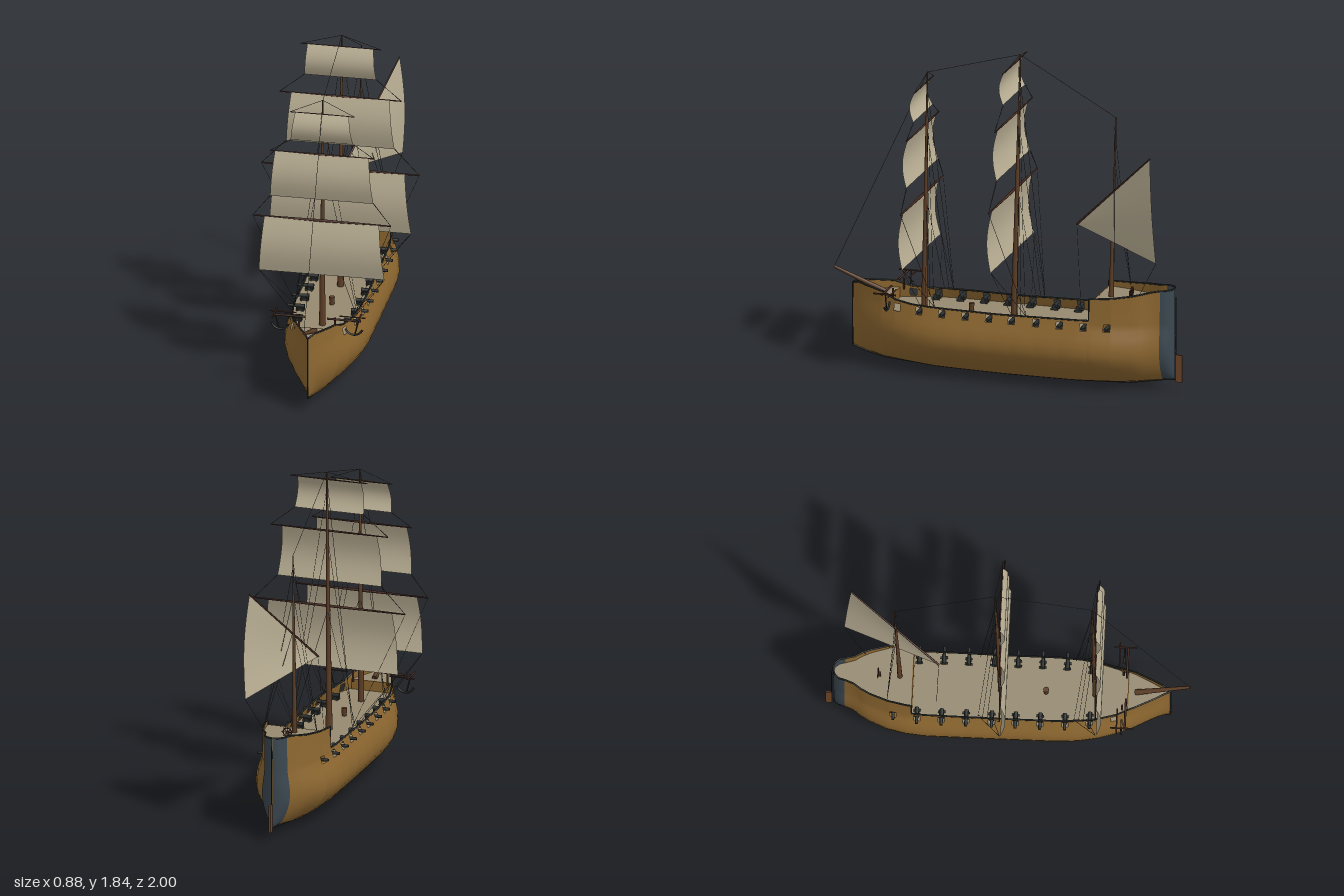
import * as THREE from 'three';
import { mergeGeometries } from 'three/addons/utils/BufferGeometryUtils.js';

const mat = (name, color, side = THREE.FrontSide) => {
  const m = new THREE.MeshStandardMaterial({ color, side });
  m.name = name;
  return m;
};
const V = (x, y, z) => new THREE.Vector3(x, y, z);

// Linear interpolation through [position, value] pairs
function interp(table, p) {
  for (let i = 1; i < table.length; i++) {
    const [a, va] = table[i - 1], [b, vb] = table[i];
    if (p >= Math.min(a, b) && p <= Math.max(a, b)) return va + (vb - va) * (p - a) / (b - a || 1);
  }
  return p > table[0][0] ? table[0][1] : table[table.length - 1][1];
}

const STEP = -0.52, STERN = -0.89;
const beamTable = [[0.89, 0.003], [0.85, 0.034], [0.8, 0.068], [0.7, 0.128], [0.6, 0.174], [0.5, 0.206], [0.4, 0.225],
  [0.28, 0.234], [-0.45, 0.235], [-0.55, 0.226], [-0.65, 0.204], [-0.75, 0.163], [-0.8, 0.133], [-0.84, 0.1],
  [STERN, 0.08], [-0.92, 0.071], [-0.945, 0.045], [-0.957, 0.002]];
const keelTable = [[0.89, 0.09], [0.8, 0.06], [0.7, 0.038], [0.4, 0.015], [0, 0.008], [-0.4, 0.01], [-0.7, 0.025], [-0.89, 0.058], [-0.957, 0.065]];
const rimTable = [[0.89, 0.45], [0.85, 0.462], [0.68, 0.445], [0.6, 0.415], [0.5, 0.405], [0, 0.401], [STEP, 0.412]];
const poopTable = [[STEP, 0.535], [-0.7, 0.548], [-0.88, 0.58], [-0.957, 0.585]];
// Cross-section from keel to gunports: [height fraction, width fraction]
const profile = [[0, 0], [0.05, 0.27], [0.13, 0.48], [0.24, 0.68], [0.36, 0.84], [0.48, 0.95], [0.6, 1], [0.74, 0.99], [0.88, 0.93], [1, 0.86]];
const PORT_LOW = 0.355, PORT_HIGH = 0.394;
const ports = [0.59, 0.455, 0.32, 0.185, 0.05, -0.08, -0.22, -0.355, -0.49, -0.62];
const beam = z => interp(beamTable, z);
const rimY = (z, poop) => interp(poop ? poopTable : rimTable, z);

function halfSection(z, poop) {
  const b = beam(z), k = interp(keelTable, z);
  const pts = profile.map(([t, w]) => [b * w, k + (PORT_LOW - k) * t]);
  pts.push([b * 0.81, PORT_HIGH], [b * 0.79, rimY(z, poop)]);
  return pts;
}

// Hull shell lofted along z, leaving out the gunport openings
function loft(zs, poop) {
  const pos = [], idx = [];
  let cols = 0;
  zs.forEach(z => {
    const h = halfSection(z, poop);
    const ring = [...h.slice(1).reverse().map(([x, y]) => [-x, y]), ...h];
    cols = ring.length;
    ring.forEach(([x, y]) => pos.push(x, y, z));
  });
  for (let i = 0; i < zs.length - 1; i++) {
    const mid = (zs[i] + zs[i + 1]) / 2;
    const open = ports.some(p => Math.abs(p - mid) < 0.018);
    for (let j = 0; j < cols - 1; j++) {
      if (open && (j === 1 || j === cols - 3)) continue;
      const a = i * cols + j, c = a + cols;
      idx.push(a, c, a + 1, a + 1, c, c + 1);
    }
  }
  const g = new THREE.BufferGeometry();
  g.setAttribute('position', new THREE.Float32BufferAttribute(pos, 3));
  g.setIndex(idx);
  g.computeVertexNormals();
  return g;
}

function stations(from, to) {
  const all = [from, to, ...beamTable.map(e => e[0]), ...rimTable.map(e => e[0]), ...ports.flatMap(p => [p - 0.018, p + 0.018])];
  return [...new Set(all)].filter(z => z <= from && z >= to).sort((a, b) => b - a);
}

function rod(a, b, r0, r1 = r0, sides = 8) {
  const d = b.clone().sub(a);
  const g = new THREE.CylinderGeometry(r1, r0, d.length(), sides);
  g.applyQuaternion(new THREE.Quaternion().setFromUnitVectors(V(0, 1, 0), d.normalize()));
  return g.translate((a.x + b.x) / 2, (a.y + b.y) / 2, (a.z + b.z) / 2);
}
const box = (w, h, d, x, y, z) => new THREE.BoxGeometry(w, h, d).translate(x, y, z);

export function createModel() {
  const ship = new THREE.Group();
  ship.name = 'sailingShip';
  const D = THREE.DoubleSide;
  const hullWood = mat('hullWood', 0x8d6730, D), slate = mat('slate', 0x3b4750, D), deckWood = mat('deckWood', 0x968a70, D);
  const canvas = mat('canvas', 0xbdb297, D), mastWood = mat('mastWood', 0x5c3d26), yardWood = mat('yardWood', 0x472a20);
  const iron = mat('iron', 0x2b2e2e), rope = mat('rope', 0x3a3836), rudderWood = mat('rudderWood', 0x6e4526);
  const add = (name, geo, m) => {
    const mesh = new THREE.Mesh(Array.isArray(geo) ? mergeGeometries(geo) : geo, m);
    mesh.name = name;
    ship.add(mesh);
  };

  // Hull
  const mainZ = stations(0.89, STEP), poopZ = stations(STEP, STERN), sternZ = stations(STERN, -0.957);
  add('mainHull', loft(mainZ, false), hullWood);
  add('quarterHull', loft(poopZ, true), hullWood);
  add('sternPost', loft(sternZ, true), slate);

  // Dark rail along the rim, and keel with stem
  const rail = [];
  for (const [zs, poop] of [[mainZ, false], [[...poopZ, ...sternZ.slice(1)], true]])
    for (let i = 0; i < zs.length - 1; i++)
      for (const s of [-1, 1]) {
        const p = z => V(s * beam(z) * 0.79, rimY(z, poop), z);
        rail.push(rod(p(zs[i]), p(zs[i + 1]), 0.005, 0.005, 6));
      }
  for (const s of [-1, 1]) rail.push(rod(V(s * 0.181, 0.41, STEP), V(s * 0.181, 0.535, STEP), 0.004));
  add('rail', rail, iron);
  const keel = [rod(V(0, 0.09, 0.89), V(0, 0.45, 0.89), 0.005)];
  for (let i = 1; i < keelTable.length; i++) {
    const [a, ya] = keelTable[i - 1], [b, yb] = keelTable[i];
    keel.push(rod(V(0, ya, a), V(0, yb, b), 0.005));
  }
  add('keel', keel, iron);

  // Decks and the bulkheads between them
  const deck = (name, from, to, y, f) => {
    const zs = stations(from, to), g = new THREE.PlaneGeometry(1, 1, 1, zs.length - 1), p = g.attributes.position;
    zs.forEach((z, i) => [1, -1].forEach((s, k) => p.setXYZ(i * 2 + k, s * beam(z) * f, y, z)));
    g.computeVertexNormals();
    add(name, g, deckWood);
  };
  deck('mainDeck', 0.66, STEP, 0.348, 0.86);
  deck('foreDeck', 0.885, 0.66, 0.405, 0.8);
  deck('quarterDeck', STEP, -0.95, 0.505, 0.79);
  add('bulkheads', [box(0.362, 0.157, 0.006, 0, 0.427, STEP), box(0.236, 0.057, 0.006, 0, 0.377, 0.66)], hullWood);

  // Cannons on small carriages
  const barrels = [], carriages = [];
  for (const z of ports.slice(1))
    for (const s of [-1, 1]) {
      const x = beam(z) * 0.84;
      barrels.push(rod(V(s * (x - 0.065), 0.375, z), V(s * (x + 0.03), 0.375, z), 0.011, 0.008, 10));
      carriages.push(box(0.045, 0.016, 0.026, s * (x - 0.04), 0.358, z));
      for (const dx of [-0.055, -0.025])
        carriages.push(rod(V(s * (x + dx), 0.355, z - 0.02), V(s * (x + dx), 0.355, z + 0.02), 0.007));
    }
  add('cannons', barrels, iron);
  add('cannonCarriages', carriages, iron);

  // Masts and bowsprit
  add('masts', [
    rod(V(0, 0.34, 0.481), V(0, 1.69, 0.463), 0.018, 0.004, 12),
    rod(V(0, 0.34, -0.034), V(0, 1.84, -0.07), 0.019, 0.004, 12),
    rod(V(0, 0.5, -0.59), V(0, 1.53, -0.62), 0.014, 0.003, 12),
    rod(V(0, 0.41, 0.7), V(0, 0.527, 0.998), 0.016, 0.008, 10),
  ], mastWood);

  // Square sails: [yard y, yard half, foot y, head half, foot half], lowest first
  const rigs = [
    { name: 'fore', z: 0.495, top: V(0, 1.69, 0.463), rows: [[0.98, 0.385, 0.655, 0.32, 0.35], [1.375, 0.29, 1.105, 0.262, 0.288], [1.615, 0.18, 1.45, 0.15, 0.175]] },
    { name: 'main', z: -0.027, top: V(0, 1.84, -0.07), rows: [[1.055, 0.44, 0.7, 0.36, 0.395], [1.49, 0.34, 1.2, 0.275, 0.302], [1.787, 0.225, 1.605, 0.185, 0.2]] },
  ];
  const lines = [], yards = [];
  const line = (a, b) => lines.push(rod(a, b, 0.0013, 0.0013, 4));
  for (const { name, z, top, rows } of rigs) {
    rows.forEach(([y, yardHalf, foot, head, low], i) => {
      const zy = z - i * 0.005;
      for (const s of [-1, 1]) yards.push(rod(V(0, y, zy), V(s * yardHalf, y, zy), 0.008 - i * 0.0018, 0.004 - i * 0.0008));
      const g = new THREE.PlaneGeometry(2, 1, 8, 10), p = g.attributes.position;
      for (let k = 0; k < p.count; k++) {
        const v = 0.5 - p.getY(k);
        p.setXYZ(k, p.getX(k) * (head + (low - head) * v), y + (foot - y) * v, zy + 0.026 * Math.sin(Math.PI * v) + 0.004);
      }
      g.computeVertexNormals();
      add(name + 'Sail' + (i + 1), g, canvas);
      // Sheets, lifts and braces
      for (const s of [-1, 1]) {
        const end = V(s * yardHalf, y, zy), rim = V(s * 0.17, 0.4, z - 0.13 - i * 0.015);
        line(V(s * low, foot, zy), i ? V(s * rows[i - 1][1], rows[i - 1][0], z) : V(s * 0.18, 0.4, z - 0.05));
        line(end, i < 2 ? V(s * rows[i + 1][4], rows[i + 1][2], zy) : top);
        if (i === 0) line(end, rim);
        if (i === 0) line(V(s * low, foot, zy), rim);
      }
    });
  }
  add('yards', yards, yardWood);

  // Lateen sail and its slanting yard
  const tack = V(-0.06, 0.88, -0.375), peak = V(0.165, 1.365, -0.865), clew = V(0.175, 0.772, -0.903);
  const lateen = new THREE.PlaneGeometry(1, 1, 8, 8), lp = lateen.attributes.position;
  for (let k = 0; k < lp.count; k++) {
    const u = lp.getX(k) + 0.5, v = lp.getY(k) + 0.5;
    const q = tack.clone().lerp(peak.clone().lerp(clew, u), v);
    lp.setXYZ(k, q.x + 0.02 * Math.sin(Math.PI * u) * v, q.y, q.z);
  }
  lateen.computeVertexNormals();
  add('lateenSail', lateen, canvas);
  add('lateenYard', rod(tack, peak, 0.006, 0.004), yardWood);

  // Stays and shrouds
  const tops = [V(0, 0.527, 0.998), V(0, 1.69, 0.463), V(0, 1.84, -0.07), V(0, 1.53, -0.62)];
  for (let i = 0; i < 3; i++) line(tops[i], tops[i + 1]);
  line(tack, V(-0.1, 0.4, -0.385));
  line(clew, V(0.1, 0.55, -0.78));
  for (const [zb, base, x, heights] of [[0.465, 0.4, 0.175, [0.95, 1.36, 1.6]], [-0.06, 0.4, 0.18, [1.04, 1.47, 1.77]], [-0.61, 0.53, 0.155, [1.1, 1.3, 1.48]]])
    heights.forEach((h, i) => {
      for (const s of [-1, 1]) line(V(0, h, zb), V(s * x, base, zb - 0.045 - i * (zb < -0.5 ? 0 : 0.025)));
    });
  add('rigging', lines, rope);

  // Anchors hung from catheads at the bow
  const anchors = [], catheads = [];
  for (const s of [-1, 1]) {
    catheads.push(rod(V(s * 0.06, 0.465, 0.65), V(s * 0.235, 0.465, 0.65), 0.006));
    catheads.push(rod(V(s * 0.12, 0.465, 0.605), V(s * 0.265, 0.465, 0.605), 0.004));
    catheads.push(rod(V(s * 0.235, 0.47, 0.57), V(s * 0.235, 0.47, 0.7), 0.005));
    catheads.push(rod(V(s * 0.1, 0.4, 0.63), V(s * 0.1, 0.465, 0.63), 0.006));
    anchors.push(rod(V(s * 0.235, 0.47, 0.63), V(s * 0.21, 0.37, 0.63), 0.004));
    anchors.push(new THREE.TorusGeometry(0.05, 0.006, 6, 14, Math.PI * 0.8).rotateZ(Math.PI * 1.1).translate(s * 0.205, 0.422, 0.63));
  }
  add('catheads', catheads, yardWood);
  add('anchors', anchors, iron);

  // Steering wheel, capstan, rudder
  const wheel = [new THREE.TorusGeometry(0.024, 0.004, 6, 18).translate(0, 0.542, -0.71), box(0.012, 0.04, 0.012, 0, 0.525, -0.7)];
  for (let i = 0; i < 4; i++) {
    const a = i * Math.PI / 4, x = Math.cos(a) * 0.033, y = Math.sin(a) * 0.033;
    wheel.push(rod(V(-x, 0.542 - y, -0.71), V(x, 0.542 + y, -0.71), 0.002, 0.002, 5));
  }
  add('steeringWheel', wheel, yardWood);
  add('capstan', new THREE.CylinderGeometry(0.016, 0.013, 0.045, 12).translate(0, 0.37, 0.21), mastWood);
  add('rudder', box(0.01, 0.155, 0.036, 0, 0.128, -0.98), rudderWood);
  add('rudderStock', rod(V(0, 0.2, -0.964), V(0, 0.535, -0.964), 0.003), iron);
  return ship;
}
